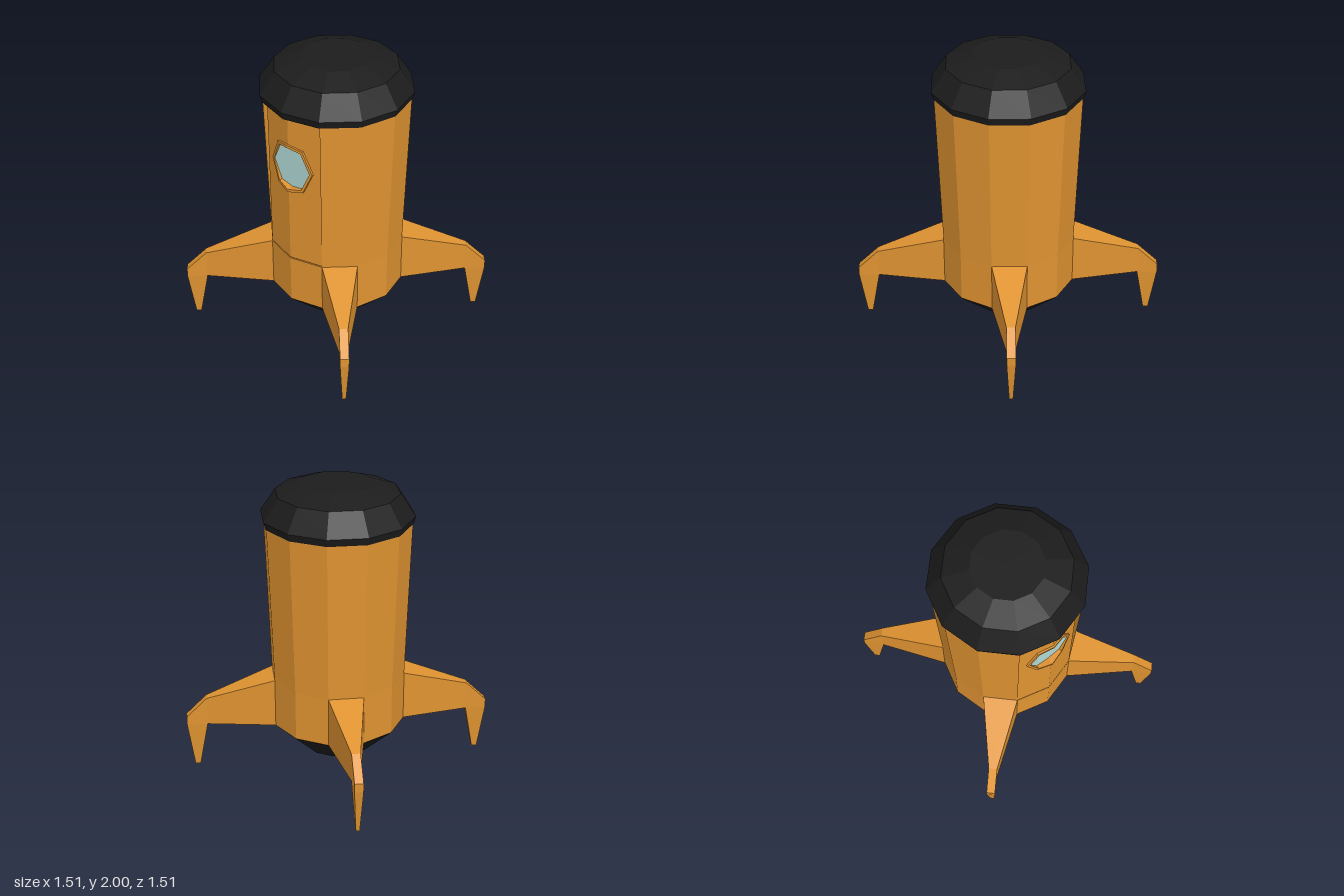
import * as THREE from 'three';

const SIDES = 12;
const FOLD = Math.tan(Math.PI / 12); // slope of the two front facets away from x = 0
const WINDOW_Y = 1.365;

const mat = (color) => new THREE.MeshStandardMaterial({ color, flatShading: true, side: THREE.DoubleSide });

export function createModel() {
  const group = new THREE.Group();
  const orange = mat(0xdf9331), black = mat(0x1c1c1c), glass = mat(0xb2dad5);

  const add = (name, geometry, material, parent = group) => {
    const mesh = new THREE.Mesh(geometry, material);
    mesh.name = name;
    parent.add(mesh);
    return mesh;
  };
  const points = (list) => list.map(([x, y]) => new THREE.Vector2(x, y));
  const lathe = (profile, segments = SIDES, start = 0, length = Math.PI * 2) =>
    new THREE.LatheGeometry(points(profile), segments, start, length);

  // Hull: closed base ring, and an upper shell left open over the two front facets
  add('hullBase', lathe([[0, 0.32], [0.456, 0.32], [0.456, 0.66], [0, 0.66]]), orange);
  add('hullShell', lathe([[0.456, 0.66], [0.492, 1.75]], SIDES - 2, Math.PI / 6, Math.PI * 5 / 3), orange);

  // Domed cap
  add('cap', lathe([[0, 1.74], [0.495, 1.74], [0.51, 1.79], [0.41, 1.94], [0.235, 2], [0, 2]]), black);

  // Engine cone with a hollow nozzle
  add('engineCone', lathe([[0, 0.2], [0.2, 0.2], [0.235, 0.11], [0.456, 0.319], [0, 0.319]]), black);

  // Right half of the eight-sided window outline, top to bottom
  const halfOctagon = (s) => [[0, 0.175], [0.106, 0.153], [0.174, 0], [0.106, -0.153], [0, -0.175]]
    .map(([x, y]) => [x * s, WINDOW_Y + y * s]);

  // A half panel mirrored to both sides and folded back along x = 0
  const foldedPanel = (name, outline, frontZ, depth) => {
    const panel = new THREE.Group();
    panel.name = name;
    for (const side of [1, -1]) {
      const shape = new THREE.Shape(points(outline.map(([x, y]) => [x * side, y])));
      const geo = new THREE.ExtrudeGeometry(shape, { depth, bevelEnabled: false });
      const pos = geo.attributes.position;
      for (let i = 0; i < pos.count; i++) {
        pos.setZ(i, pos.getZ(i) - depth + frontZ - FOLD * Math.abs(pos.getX(i)));
      }
      geo.computeVertexNormals();
      add(name + (side > 0 ? 'Left' : 'Right'), geo, orange, panel);
    }
    group.add(panel);
  };

  // Door with a window opening, and the window frame
  foldedPanel('door',
    [[0, 0.668], [0.228, 0.668], [0.24, 1.72], [0, 1.72], ...halfOctagon(0.95)], 0.456, 0.04);
  foldedPanel('windowFrame',
    [...halfOctagon(1), ...halfOctagon(0.89).reverse()], 0.469, 0.06);

  // Window pane
  const half = halfOctagon(0.9);
  const pane = [...half, ...half.slice(1, -1).reverse().map(([x, y]) => [-x, y])];
  add('windowPane', new THREE.ShapeGeometry(new THREE.Shape(points(pane))), glass).position.z = 0.42;

  // Legs: side profile in three quads, thickness tapering from hull to foot
  const root = [[0.438, 0.32], [0.438, 0.66]];
  const knee = [[0.9, 0.315], [0.9, 0.51]];
  const outer = [[1.04, 0.315], [1.04, 0.375]];
  const foot = [[0.96, 0], [0.995, 0]];
  const quads = [
    [root[0], knee[0], knee[1], root[1]],
    [knee[0], outer[0], outer[1], knee[1]],
    [foot[0], foot[1], outer[0], knee[0]],
  ].map((q) => new THREE.Shape(points(q)));
  const legGeo = new THREE.ExtrudeGeometry(quads, { depth: 2, bevelEnabled: false });
  legGeo.translate(0, 0, -1);
  const pos = legGeo.attributes.position;
  for (let i = 0; i < pos.count; i++) {
    const halfWidth = pos.getY(i) < 0.1 ? 0.0125 : pos.getX(i) < 0.5 ? 0.118 : 0.029;
    pos.setZ(i, pos.getZ(i) * halfWidth);
  }
  legGeo.computeVertexNormals();
  ['frontLeft', 'backLeft', 'backRight', 'frontRight'].forEach((name, i) => {
    add(name + 'Leg', legGeo, orange).rotation.y = -Math.PI / 4 + i * Math.PI / 2;
  });

  return group;
}
